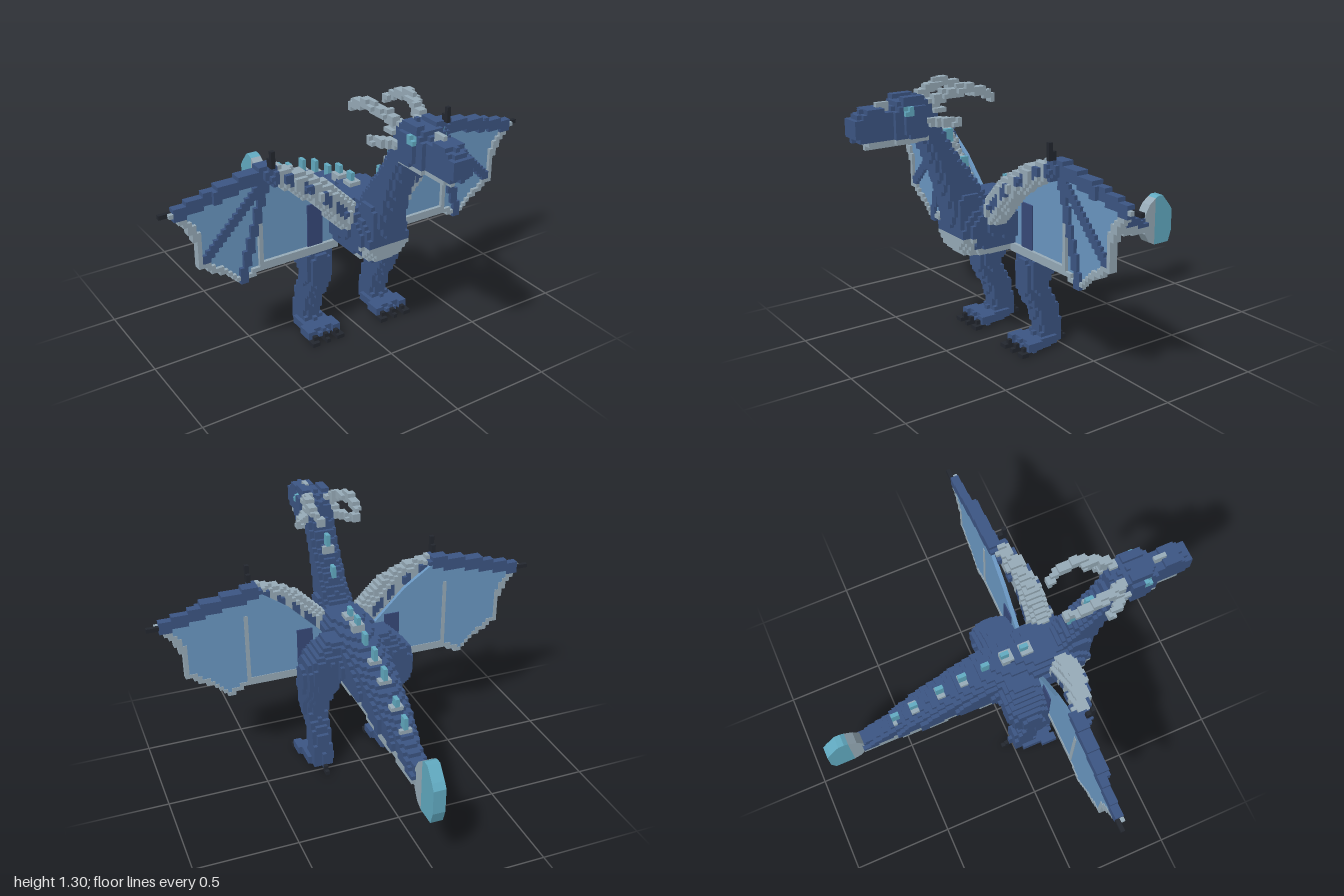
import * as THREE from 'three';

const V = 0.02; // edge length of one cube
const palette = {
  navyScale: 0x3c5583, paleHorn: 0x97abb8, cyanCrest: 0x62abc2,
  blackClaw: 0x23272f, wingBlue: 0x6a97c2, deepNavy: 0x37497a,
};
const mats = {};
for (const [name, color] of Object.entries(palette)) {
  mats[name] = new THREE.MeshStandardMaterial({ color });
  mats[name].name = name;
}

// Fills cubes where rule(x, y, z) returns a colour name; only outer faces are kept
function voxels(name, [x0, x1, y0, y1, z0, z1], rule) {
  const cells = new Map();
  const key = (c) => c.join();
  for (let i = Math.round(x0 / V); i <= Math.round(x1 / V); i++)
    for (let j = Math.floor(y0 / V); j <= Math.ceil(y1 / V); j++)
      for (let k = Math.floor(z0 / V); k <= Math.ceil(z1 / V); k++) {
        const colour = rule(i * V, (j + 0.5) * V, (k + 0.5) * V);
        if (colour) cells.set(key([i, j, k]), { c: [i, j, k], colour });
      }
  const buckets = {};
  for (const { c, colour } of cells.values()) {
    const out = (buckets[colour] ??= []);
    for (let a = 0; a < 3; a++) for (const s of [1, -1]) {
      const n = [...c];
      n[a] += s;
      if (cells.has(key(n))) continue;
      const quad = [[0, 0], [1, 0], [1, 1], [0, 1]].map(([u, v]) => {
        const p = [...c];
        if (s > 0) p[a] += 1;
        p[(a + 1) % 3] += u;
        p[(a + 2) % 3] += v;
        return [(p[0] - 0.5) * V, p[1] * V, p[2] * V];
      });
      if (s < 0) quad.reverse();
      for (const q of [0, 1, 2, 0, 2, 3]) out.push(...quad[q]);
    }
  }
  const geo = new THREE.BufferGeometry();
  const pos = [];
  const list = [];
  for (const [colour, data] of Object.entries(buckets)) {
    geo.addGroup(pos.length / 3, data.length / 3, list.length);
    list.push(mats[colour]);
    for (const d of data) pos.push(d);
  }
  geo.setAttribute('position', new THREE.Float32BufferAttribute(pos, 3));
  geo.computeVertexNormals();
  const mesh = new THREE.Mesh(geo, list);
  mesh.name = name;
  return mesh;
}

// Inside test for sections [t, uMin, uMax, vMin, vMax] ordered by t
function loft(rows, t, u, v, power = 2.6) {
  for (let i = 0; i < rows.length - 1; i++) {
    const a = rows[i], b = rows[i + 1];
    if (t < a[0] || t > b[0]) continue;
    const f = (t - a[0]) / (b[0] - a[0]);
    const [u0, u1, v0, v1] = [1, 2, 3, 4].map((n) => a[n] + (b[n] - a[n]) * f);
    return Math.abs((2 * u - u0 - u1) / (u1 - u0)) ** power
      + Math.abs((2 * v - v0 - v1) / (v1 - v0)) ** power <= 1;
  }
  return false;
}

// Inside test for a rounded path through [x, y, z, radius] points
function tube(points, x, y, z, grow = 1) {
  const p = new THREE.Vector3(x, y, z);
  for (let i = 0; i < points.length - 1; i++) {
    const a = new THREE.Vector3(...points[i]), d = new THREE.Vector3(...points[i + 1]).sub(a);
    const f = THREE.MathUtils.clamp(p.clone().sub(a).dot(d) / d.lengthSq(), 0, 1);
    const r = points[i][3] + (points[i + 1][3] - points[i][3]) * f;
    if (a.addScaledVector(d, f).distanceTo(p) < r * grow) return true;
  }
  return false;
}

// z, bottom, top, then half width both ways
const sym = (rows) => rows.map(([t, a, b, h]) => [t, a, b, -h, h]);
const bodyRows = sym([
  [-0.74, 0.36, 0.44, 0.04], [-0.6, 0.37, 0.5, 0.052], [-0.42, 0.41, 0.59, 0.085],
  [-0.2, 0.46, 0.68, 0.105], [0, 0.465, 0.74, 0.13], [0.2, 0.465, 0.77, 0.145],
  [0.34, 0.47, 0.76, 0.14], [0.42, 0.49, 0.7, 0.12], [0.46, 0.52, 0.66, 0.1]]);
const neckRows = sym([
  [0.56, 0.2, 0.46, 0.12], [0.68, 0.25, 0.48, 0.1], [0.78, 0.31, 0.51, 0.08], [0.88, 0.375, 0.545, 0.07],
  [0.98, 0.45, 0.585, 0.066], [1.08, 0.51, 0.63, 0.065], [1.2, 0.55, 0.66, 0.06]]);
const headRows = sym([
  [0.55, 1.08, 1.21, 0.06], [0.63, 1.05, 1.25, 0.085], [0.72, 1.05, 1.245, 0.08],
  [0.76, 1.05, 1.2, 0.06], [0.84, 1.05, 1.225, 0.052], [0.89, 1.05, 1.21, 0.05], [0.93, 1.09, 1.18, 0.046]]);
const legRows = [
  [0.02, -0.01, 0.13, 0.15, 0.25], [0.1, -0.01, 0.115, 0.145, 0.255], [0.2, 0.01, 0.145, 0.145, 0.255],
  [0.27, 0.05, 0.185, 0.14, 0.26], [0.34, 0.07, 0.21, 0.135, 0.265], [0.4, 0.02, 0.205, 0.12, 0.275],
  [0.46, -0.025, 0.19, 0.11, 0.285], [0.56, -0.05, 0.185, 0.08, 0.285],
  [0.63, -0.05, 0.175, 0.06, 0.26], [0.71, 0, 0.13, 0.04, 0.18]];

function wing(s) {
  const g = new THREE.Group();
  g.name = s > 0 ? 'leftWing' : 'rightWing';
  const box = (a, b, ...rest) => (s > 0 ? [a, b, ...rest] : [-b, -a, ...rest]);
  const flat = (pts, r) => pts.map(([x, y]) => [x, y, 0, r]);

  // Skin sheet
  const outline = [[0.12, 0.5], [0.5, 0.5], [0.56, 0.48], [0.62, 0.45], [0.7, 0.53], [0.82, 0.6], [0.82, 0.72],
    [0.86, 0.8], [0.93, 0.87], [0.47, 0.98], [0.3, 0.86], [0.14, 0.7]];
  const shape = new THREE.Shape(outline.map(([x, y]) => new THREE.Vector2(s * x, y)));
  const skin = new THREE.Mesh(
    new THREE.ExtrudeGeometry(shape, { depth: 0.02, bevelEnabled: false }), mats.wingBlue);
  skin.position.z = 0.163;
  skin.name = 'wingSkin';
  const patch = new THREE.Mesh(new THREE.BoxGeometry(0.08, 0.22, 0.034), mats.deepNavy);
  patch.position.set(s * 0.23, 0.625, 0.174);
  patch.name = 'innerWingPatch';

  // Pale hem, finger bones and claws
  const hem = flat(outline.slice(0, 9), 0.014);
  const seam = flat([[0.515, 0.5], [0.515, 0.84]], 0.012);
  const lead = flat([[0.47, 0.97], [0.7, 0.925], [0.91, 0.87]], 0.03);
  const fingers = [flat([[0.48, 0.93], [0.79, 0.62]], 0.02), flat([[0.48, 0.93], [0.62, 0.45]], 0.02)];
  const frame = voxels('wingFrame', box(0.1, 1, 0.4, 1.08, 0.16, 0.2), (x, y, z) => {
    x *= s;
    if (z < 0.16 || z > 0.22) return null;
    if (x > 0.92 && x < 1 && y > (x > 0.955 ? 0.865 : 0.85) && y < (x > 0.955 ? 0.885 : 0.89) && z < 0.18) return 'blackClaw';
    if (tube(lead, x, y, 0) && (z < 0.2 || x < 0.75)) return 'navyScale';
    if (z > 0.18 && z < 0.2 && fingers.some((f) => tube(f, x, y, 0))) return 'navyScale';
    if (z < 0.2 && (tube(hem, x, y, 0) || tube(seam, x, y, 0))) return 'paleHorn';
    return null;
  });

  // Plated arm with dark marks and a thumb claw
  const path = [[0.12, 0.69, 0.29, 0.065], [0.25, 0.83, 0.28, 0.06], [0.36, 0.91, 0.25, 0.05], [0.47, 0.96, 0.21, 0.042]];
  const thumb = [[0.48, 0.98, 0.22, 0.022], [0.48, 1.06, 0.25, 0.013]];
  const mid = path.map(([x, y]) => [x, y, 0, 0.022]);
  const arm = voxels('wingArm', box(0.04, 0.54, 0.6, 1.1, 0.14, 0.38), (x, y, z) => {
    x *= s;
    if (tube(path, x, y, z)) {
      return x > 0.45 || (tube(mid, x, y, 0) && Math.sin(x * 80) > -0.3) ? 'navyScale' : 'paleHorn';
    }
    return tube(thumb, x, y, z) ? 'blackClaw' : null;
  });
  g.add(skin, patch, frame, arm);
  return g;
}

export function createModel() {
  const model = new THREE.Group();

  // Torso and tail with pale belly
  model.add(voxels('bodyAndTail', [-0.2, 0.2, 0.34, 0.8, -0.76, 0.48], (x, y, z) => {
    if (!loft(bodyRows, z, y, x)) return null;
    const belly = z > 0.4 ? 0.59 : z > 0.2 ? 0.53 : z > -0.2 ? 0.52 : 0.52 + (z + 0.2) * 0.24;
    return y < belly ? 'paleHorn' : 'navyScale';
  }));
  model.add(voxels('neck', [-0.14, 0.14, 0.56, 1.2, 0.18, 0.68],
    (x, y, z) => loft(neckRows, y, z, x, 3) && 'navyScale'));

  // Head with pale jaw, eyes and snout ridge
  model.add(voxels('head', [-0.1, 0.1, 1.04, 1.28, 0.54, 0.94], (x, y, z) => {
    const ax = Math.abs(x);
    if (ax < 0.015 && Math.abs(z - 0.79) < 0.03 && y > 1.18 && y < 1.245) return 'paleHorn';
    if (ax > 0.03 && ax < 0.07 && z > 0.62 && z < 0.72 && y > 1.22 && y < 1.26) return 'navyScale';
    if (!loft(headRows, z, y, x, 5)) return null;
    if (y < 1.08) return z < 0.89 ? 'paleHorn' : null;
    if (ax > 0.05 && Math.abs(z - 0.71) < 0.02 && y > 1.18 && y < 1.22) return 'cyanCrest';
    return 'navyScale';
  }));

  // Swept horns and small cheek horns
  const horns = [
    [[0.05, 1.21, 0.6, 0.026], [0.08, 1.26, 0.52, 0.024], [0.11, 1.275, 0.43, 0.022], [0.11, 1.26, 0.35, 0.019], [0.09, 1.22, 0.29, 0.015]],
    [[0.06, 1.15, 0.6, 0.024], [0.1, 1.14, 0.55, 0.021], [0.135, 1.135, 0.49, 0.016]],
    [[0.05, 1.2, 0.6, 0.03], [0.07, 1.19, 0.54, 0.018]]];
  model.add(voxels('horns', [-0.18, 0.18, 1.08, 1.32, 0.26, 0.64],
    (x, y, z) => horns.some((h) => tube(h, Math.abs(x), y, z)) && 'paleHorn'));

  // Row of back spikes: pale foot, cyan blade
  const spikes = [[1.01, 0.47], [0.87, 0.39], [0.76, 0.15], [0.76, 0.05], [0.71, -0.05],
    [0.69, -0.17], [0.65, -0.29], [0.58, -0.43], [0.53, -0.53]];
  for (const [y0, z0] of spikes) {
    model.add(voxels('backSpike', [-0.04, 0.04, y0 - 0.04, y0 + 0.08, z0 - 0.06, z0 + 0.06], (x, y, z) => {
      if (y < y0 + 0.02 && Math.hypot(x, z - z0) < 0.036) return 'paleHorn';
      const lean = z0 - (y - y0) * 0.3;
      return Math.abs(x) < 0.015 && Math.abs(z - lean) < 0.02 && y < y0 + 0.07 ? 'cyanCrest' : null;
    }));
  }

  // Tail blade, pale root and cyan edge
  const blade = new THREE.Group();
  blade.name = 'tailBlade';
  const slabs = [['paleHorn', [[-0.73, 0.35], [-0.73, 0.46], [-0.76, 0.51], [-0.8, 0.54], [-0.8, 0.28], [-0.76, 0.3]]],
    ['cyanCrest', [[-0.8, 0.28], [-0.8, 0.54], [-0.82, 0.55], [-0.85, 0.55], [-0.9, 0.49], [-0.92, 0.46], [-0.92, 0.34], [-0.9, 0.28]]]];
  for (const [colour, pts] of slabs) {
    const shape = new THREE.Shape(pts.map(([z, y]) => new THREE.Vector2(-z, y)));
    const slab = new THREE.Mesh(
      new THREE.ExtrudeGeometry(shape, { depth: 0.06, bevelEnabled: false }), mats[colour]);
    slab.rotation.y = Math.PI / 2;
    slab.position.x = -0.03;
    slab.name = colour === 'paleHorn' ? 'bladeRoot' : 'bladeEdge';
    blade.add(slab);
  }
  model.add(blade);

  // Legs with three clawed toes and a heel spur
  const toes = [-0.065, 0, 0.065];
  for (const s of [1, -1]) {
    const range = s > 0 ? [0.04, 0.32] : [-0.32, -0.04];
    model.add(voxels(s > 0 ? 'leftLeg' : 'rightLeg', [...range, 0, 0.74, -0.08, 0.28], (x, y, z) => {
      x *= s;
      if (y < 0) return null;
      if (loft(legRows, y, z, x)) return 'navyScale';
      for (const d of toes) {
        if (tube([[0.2 + d * 0.5, 0.045, 0.06, 0.036], [0.2 + d, 0.035, 0.2, 0.025]], x, y, z)) return 'navyScale';
        if (tube([[0.2 + d, 0.03, 0.2, 0.018], [0.2 + d * 1.1, 0.01, 0.25, 0.014]], x, y, z)) return 'blackClaw';
      }
      return tube([[0.2, 0.05, 0.02, 0.02], [0.2, 0.01, -0.04, 0.014]], x, y, z) ? 'blackClaw' : null;
    }));
    model.add(wing(s));
  }
  return model;
}
